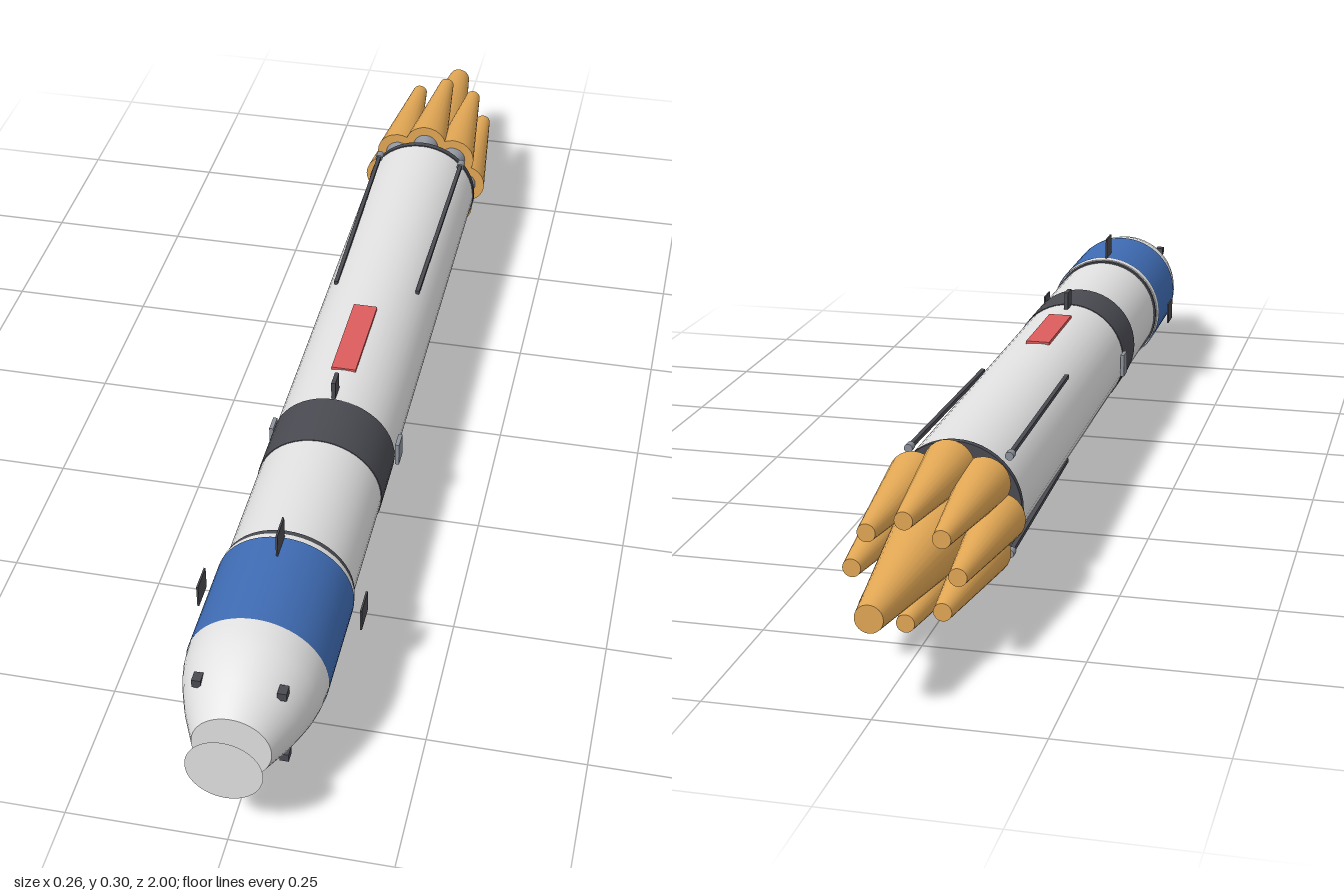
import * as THREE from 'three';

const AXIS_Y = 0.15; // height of the rocket's centre line

const mat = (name, color, side = THREE.FrontSide) => {
  const m = new THREE.MeshStandardMaterial({ color, side });
  m.name = name;
  return m;
};

export function createModel() {
  const white = mat('white hull', 0xe2e2e2);
  const blue = mat('blue wrap', 0x3f6cb4, THREE.DoubleSide);
  const dark = mat('dark grey', 0x4a4b52);
  const grey = mat('engine grey', 0x8d929b);
  const orange = mat('flame orange', 0xe3a855);
  const red = mat('red panel', 0xdc5c5c);

  const model = new THREE.Group();
  model.name = 'rocket';
  const rocket = new THREE.Group();
  rocket.name = 'rocketAssembly';
  rocket.position.y = AXIS_Y;
  model.add(rocket);

  const add = (name, geo, material, x = 0, y = 0, z = 0) => {
    const mesh = new THREE.Mesh(geo, material);
    mesh.name = name;
    mesh.position.set(x, y, z);
    rocket.add(mesh);
    return mesh;
  };
  // Round section along z, from the rear end to the front end
  const section = (name, material, z0, z1, r0, r1 = r0, x = 0, y = 0, seg = 48) =>
    add(name, new THREE.CylinderGeometry(r1, r0, z1 - z0, seg).rotateX(Math.PI / 2),
      material, x, y, (z0 + z1) / 2);

  // Hull
  section('body', white, -0.55, 0.61, 0.104);
  section('rearRing', dark, -0.554, -0.543, 0.106);
  section('interstageBand', dark, 0.27, 0.38, 0.1055);
  section('trunkRing', dark, 0.603, 0.617, 0.107);
  section('trunk', white, 0.612, 0.80, 0.109);

  // Blue wrap leaves the underside open
  add('blueWrap', new THREE.CylinderGeometry(0.1105, 0.1105, 0.18, 48, 1, true, Math.PI / 4, Math.PI * 1.5)
    .rotateX(Math.PI / 2), blue, 0, 0, 0.713);

  // Rounded nose with a flat front, then the flared docking cone
  const nosePoints = [[0.11, 0.798], [0.108, 0.825], [0.103, 0.85], [0.095, 0.875], [0.084, 0.905], [0.06, 0.957]]
    .map(([r, z]) => new THREE.Vector2(r, z));
  add('nose', new THREE.LatheGeometry(nosePoints, 48).rotateX(Math.PI / 2), white);
  add('noseCap', new THREE.CircleGeometry(0.06, 48), white, 0, 0, 0.957);
  section('dockingCone', white, 0.96, 1.0, 0.002, 0.058);

  // Parts on the diagonals: nose thrusters and folded legs
  for (const sx of [-1, 1]) {
    for (const sy of [-1, 1]) {
      add('noseThruster', new THREE.BoxGeometry(0.014, 0.014, 0.018), dark, sx * 0.064, sy * 0.064, 0.895);
      const leg = add('landingLeg', new THREE.BoxGeometry(0.007, 0.007, 0.43), dark, sx * 0.078, sy * 0.079, -0.31);
      leg.rotation.set(sy * 0.01, -sx * 0.014, 0);
      section('legFoot', grey, -0.535, -0.519, 0.007, 0.007, sx * 0.081, sy * 0.081, 12);
    }
  }

  // Upright plates around the hull
  for (const [x, y] of [[1, 0], [-1, 0], [0, 1], [0, -1]]) {
    add('steeringFin', new THREE.BoxGeometry(0.003, 0.04, 0.045), dark, x * 0.13, y * 0.13, 0.643);
    add('gridFin', new THREE.BoxGeometry(0.007, 0.042, 0.03), x ? grey : dark, x * 0.109, y * 0.115, 0.252);
  }

  // Red panel along the top
  add('topPanel', new THREE.BoxGeometry(0.042, 0.008, 0.185), red, 0, 0.103, 0.095);

  // Ring of eight engines with flames around the centre one
  for (let i = 0; i < 8; i++) {
    const a = (i * Math.PI) / 4;
    const c = Math.cos(a), s = Math.sin(a);
    section('nozzle', grey, -0.592, -0.55, 0.026, 0.01, c * 0.078, s * 0.078, 20);
    section('flame', orange, -0.832, -0.588, 0.014, 0.041, c * 0.079, s * 0.079, 24);
  }
  section('centreNozzle', grey, -0.592, -0.55, 0.026, 0.01, 0, 0, 20);
  section('centreFlame', orange, -1.0, -0.588, 0.021, 0.074, 0, 0, 32);

  return model;
}
